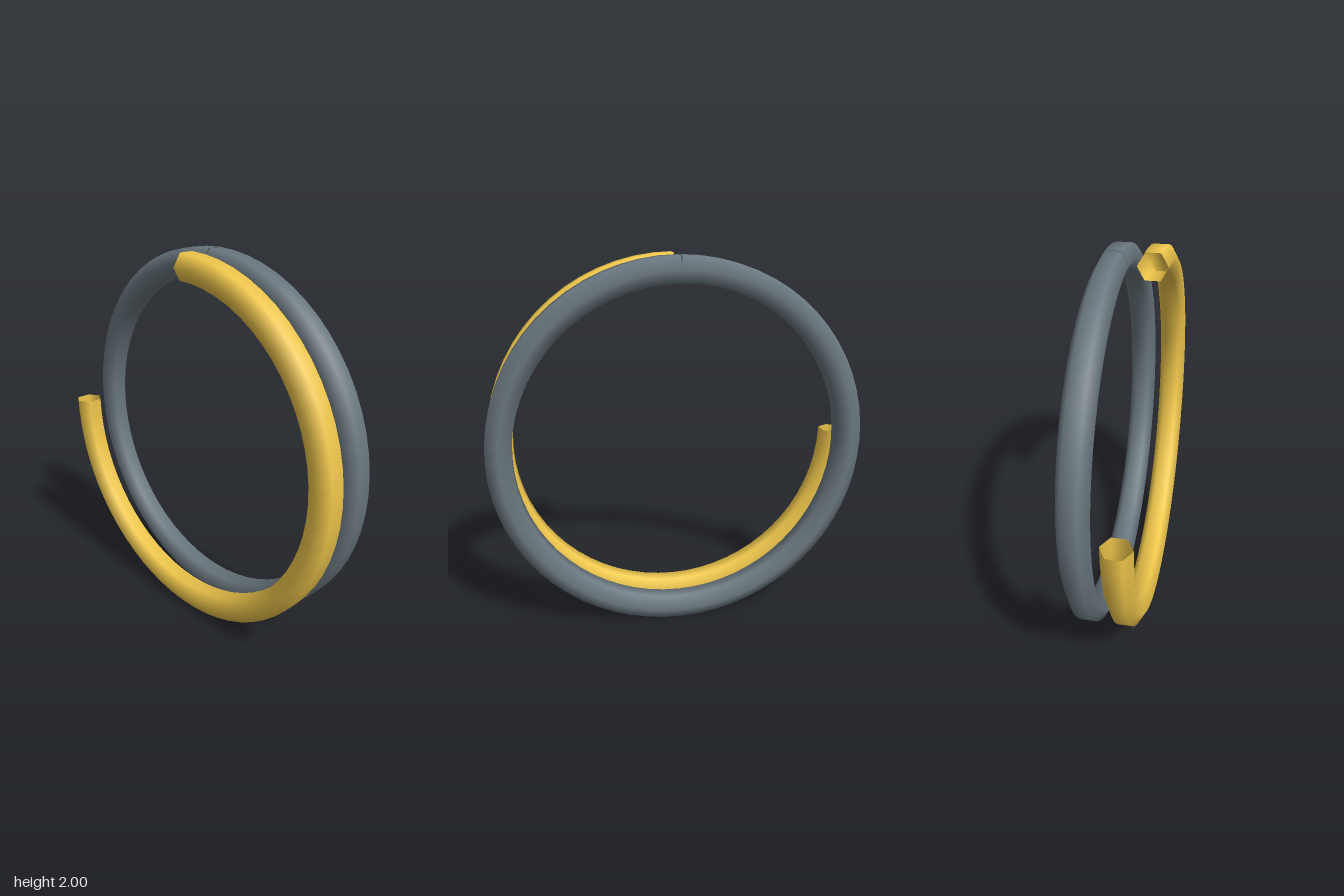
import * as THREE from 'three';

const RING_RADIUS = 0.933;
const TUBE_RADIUS = 0.077;
const STEPS = 64; // segments per full turn

// Open hexagonal tube running clockwise from the top of the ring
function ringTube(name, turn, z, color) {
  const steps = Math.round(STEPS * turn);
  const points = [];
  for (let i = 0; i <= steps; i++) {
    const a = Math.PI / 2 - (i / STEPS) * Math.PI * 2;
    points.push(new THREE.Vector3(RING_RADIUS * Math.cos(a), RING_RADIUS * Math.sin(a), 0));
  }
  const path = new THREE.CatmullRomCurve3(points);
  const geometry = new THREE.TubeGeometry(path, steps, TUBE_RADIUS, 6, false);
  const material = new THREE.MeshStandardMaterial({ color, side: THREE.DoubleSide });
  const mesh = new THREE.Mesh(geometry, material);
  mesh.name = name;
  mesh.position.set(0, 1, z);
  return mesh;
}

export function createModel() {
  const group = new THREE.Group();
  group.name = 'progressRing';
  // Full track behind, three-quarter progress arc in front
  group.add(ringTube('trackRing', 1, -0.095, 0x6b7880));
  group.add(ringTube('progressArc', 0.75, 0.095, 0xf2c94c));
  return group;
}
